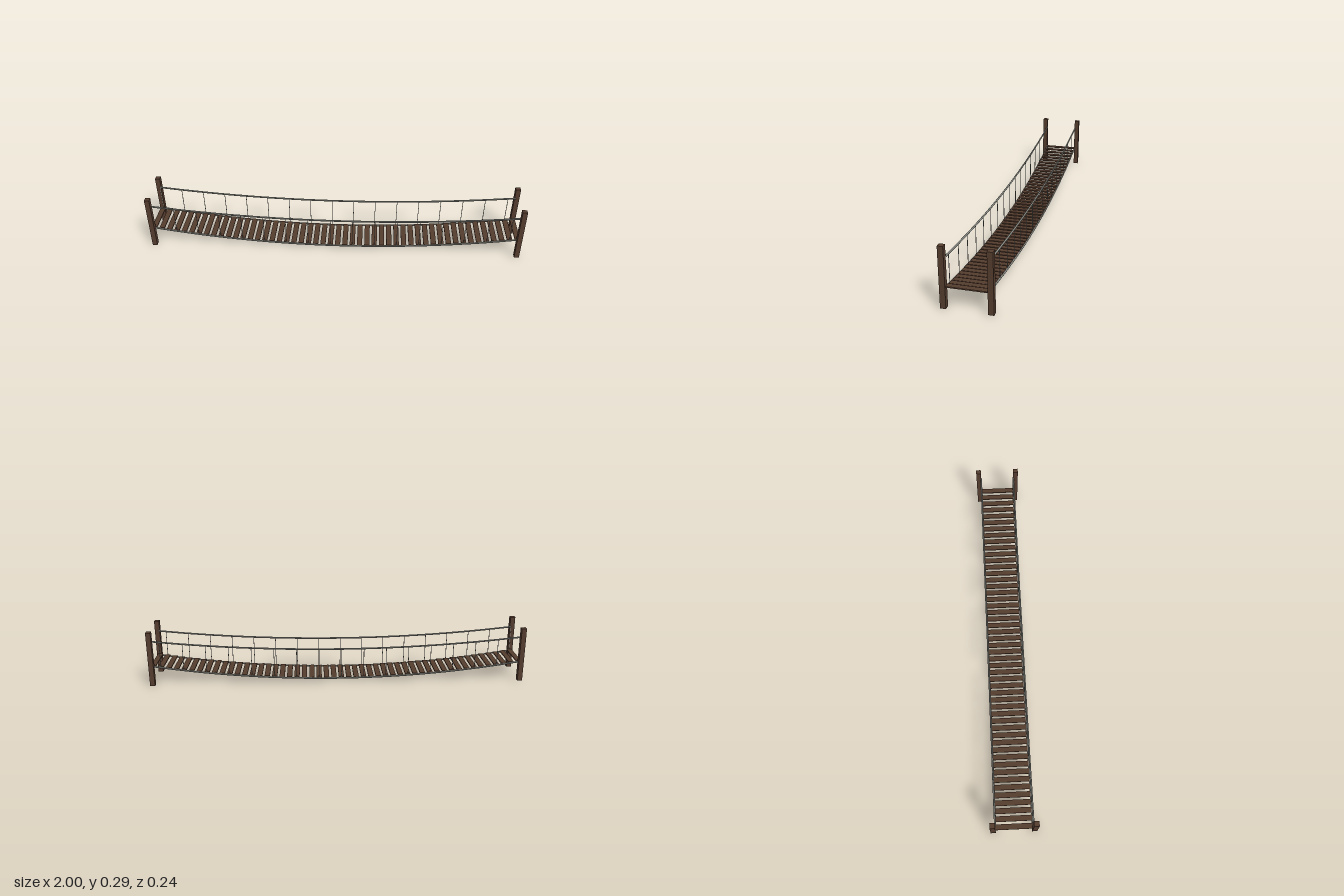
import * as THREE from 'three';

const HALF = 0.98;      // half span between the posts
const ROPE_Z = 0.0938;  // ropes run along the inner faces of the posts

// Sagging curves of the bridge
const deckY = (x) => 0.0205 + 0.08 * (x / HALF) ** 2;
const railY = (x) => 0.186 + 0.054 * (x / HALF) ** 2;

export function createModel() {
  const model = new THREE.Group();
  model.name = 'ropeBridge';

  const wood = new THREE.MeshStandardMaterial({ color: 0x543c2e });
  wood.name = 'darkWood';
  const rope = new THREE.MeshStandardMaterial({ color: 0x8c8c86 });
  rope.name = 'greyRope';

  const add = (name, geometry, material, x, y, z) => {
    const mesh = new THREE.Mesh(geometry, material);
    mesh.name = name;
    mesh.position.set(x, y, z);
    model.add(mesh);
    return mesh;
  };

  // Four corner posts
  const postGeo = new THREE.BoxGeometry(0.026, 0.295, 0.0265);
  for (const sx of [-1, 1]) {
    for (const sz of [-1, 1]) add('post', postGeo, wood, sx * 0.987, 0.1475, sz * 0.10675);
  }

  // Deck ropes and hand ropes
  const ropeTube = (height, z) => {
    const points = [];
    for (let i = 0; i <= 20; i++) {
      const x = -HALF + (2 * HALF * i) / 20;
      points.push(new THREE.Vector3(x, height(x), z));
    }
    return new THREE.TubeGeometry(new THREE.CatmullRomCurve3(points), 60, 0.0046, 8);
  };
  for (const sz of [-1, 1]) {
    add('deckRope', ropeTube(deckY, sz * ROPE_Z), rope, 0, 0, 0);
    add('handRope', ropeTube(railY, sz * ROPE_Z), rope, 0, 0, 0);
  }

  // Level planks, with a pair of hanger ropes at every third one
  const plankGeo = new THREE.BoxGeometry(0.028, 0.006, 0.186);
  const hangerGeo = new THREE.CylinderGeometry(0.0017, 0.0017, 1, 6);
  for (let i = 0; i < 50; i++) {
    const x = -HALF + i * 0.04;
    add('plank', plankGeo, wood, x, deckY(x) + 0.0035, 0);
    if (i % 3) continue;
    for (const sz of [-1, 1]) {
      const hanger = add('hanger', hangerGeo, rope, x, (deckY(x) + railY(x)) / 2, sz * ROPE_Z);
      hanger.scale.y = railY(x) - deckY(x);
    }
  }

  return model;
}
